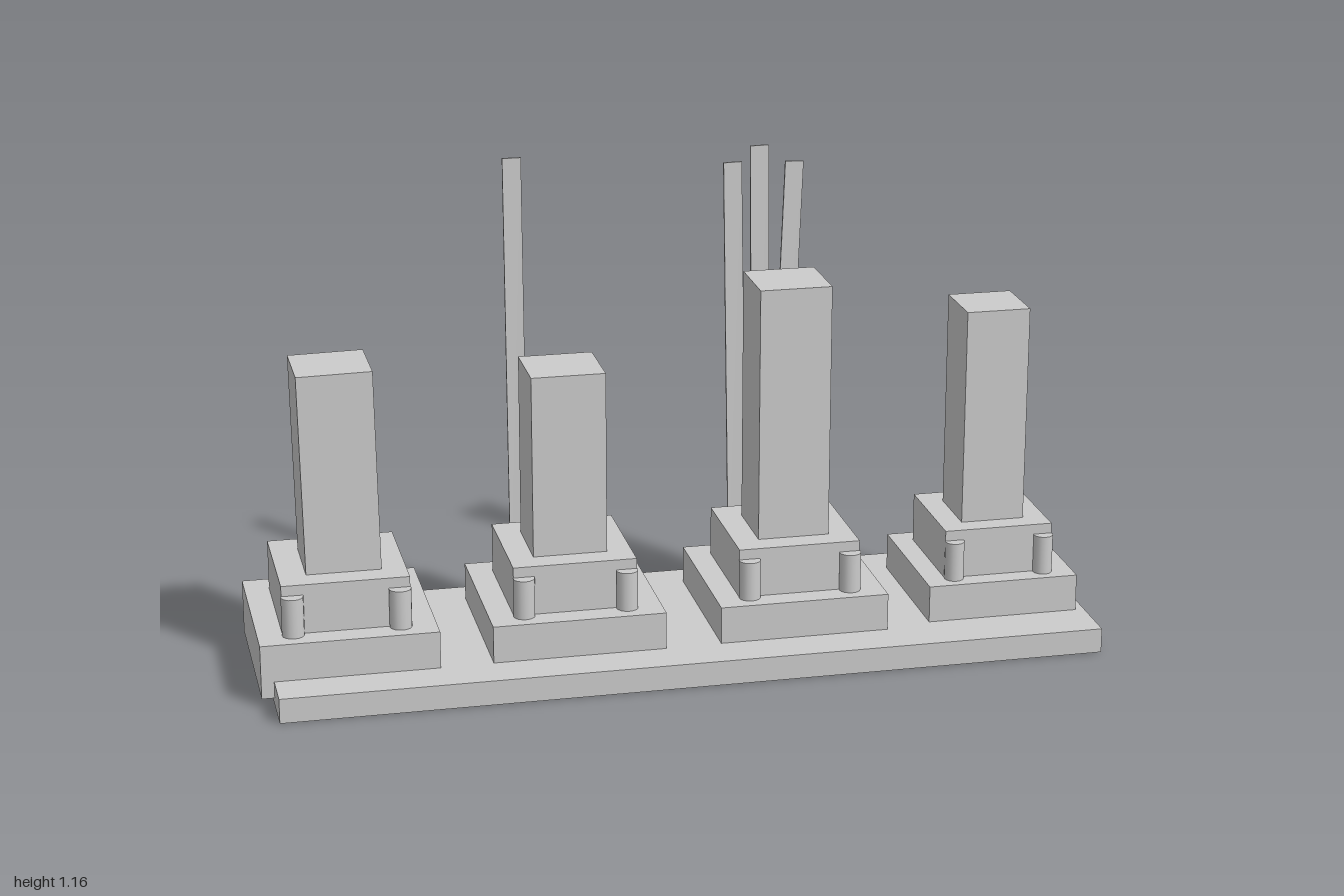
import * as THREE from 'three';

export function createModel() {
  const root = new THREE.Group();
  const stone = new THREE.MeshStandardMaterial({ color: 0xcccccc });
  stone.name = 'stone grey';

  const add = (parent, name, geometry, x, y, z, lean = 0) => {
    const mesh = new THREE.Mesh(geometry, stone);
    mesh.name = name;
    mesh.position.set(x, y, z);
    mesh.rotation.z = lean;
    parent.add(mesh);
    return mesh;
  };
  // Box given by its centre in x and z and its bottom and top
  const block = (parent, name, x, z, w, d, y0, y1, lean) =>
    add(parent, name, new THREE.BoxGeometry(w, y1 - y0, d), x, (y0 + y1) / 2, z, lean);

  // Long ground slab
  block(root, 'baseSlab', 0.015, 0, 1.97, 0.6, 0, 0.06);

  // Four monuments: two steps, a square shaft and two small front posts
  const monuments = [
    { x: -0.791, z: -0.015, step: [0.418, 0.424], tier: [0.3, 0.304], shaft: [0.177, 0.174], top: 0.753, lean: 0.016 },
    { x: -0.251, z: -0.015, step: [0.413, 0.42], tier: [0.295, 0.302], shaft: [0.177, 0.172], top: 0.712, lean: 0 },
    { x: 0.293, z: -0.015, step: [0.409, 0.415], tier: [0.295, 0.3], shaft: [0.173, 0.172], top: 0.888, lean: 0 },
    { x: 0.793, z: -0.016, step: [0.37, 0.37], tier: [0.267, 0.27], shaft: [0.155, 0.157], top: 0.8, lean: 0 },
  ];
  monuments.forEach((m, i) => {
    const g = new THREE.Group();
    g.name = 'monument' + (i + 1);
    root.add(g);
    block(g, 'lowerStep', m.x, m.z, ...m.step, 0.02, 0.15);
    block(g, 'upperStep', m.x, m.z, ...m.tier, 0.15, 0.27);
    block(g, 'shaft', m.x, m.z + 0.004, ...m.shaft, 0.25, m.top, m.lean);
    const r = m.tier[0] * 0.088;
    for (const s of [-1, 1]) {
      add(g, 'frontPost', new THREE.CylinderGeometry(r, r, 0.095, 16),
        m.x + s * m.tier[0] * 0.418, 0.1975, m.z + m.tier[1] / 2 + 0.004);
    }
  });

  // Thin upright strips behind: [bottom x, top x, top y, z]
  const strips = [
    [-0.317, -0.322, 1.155, -0.253],
    [0.233, 0.215, 1.117, -0.249],
    [0.292, 0.281, 1.155, -0.249],
    [0.329, 0.368, 1.112, -0.249],
  ];
  for (const [x0, x1, top, z] of strips) {
    block(root, 'rearStrip', (x0 + x1) / 2, z, 0.045, 0.006, 0.055, top,
      Math.atan2(x0 - x1, top - 0.055));
  }
  return root;
}
